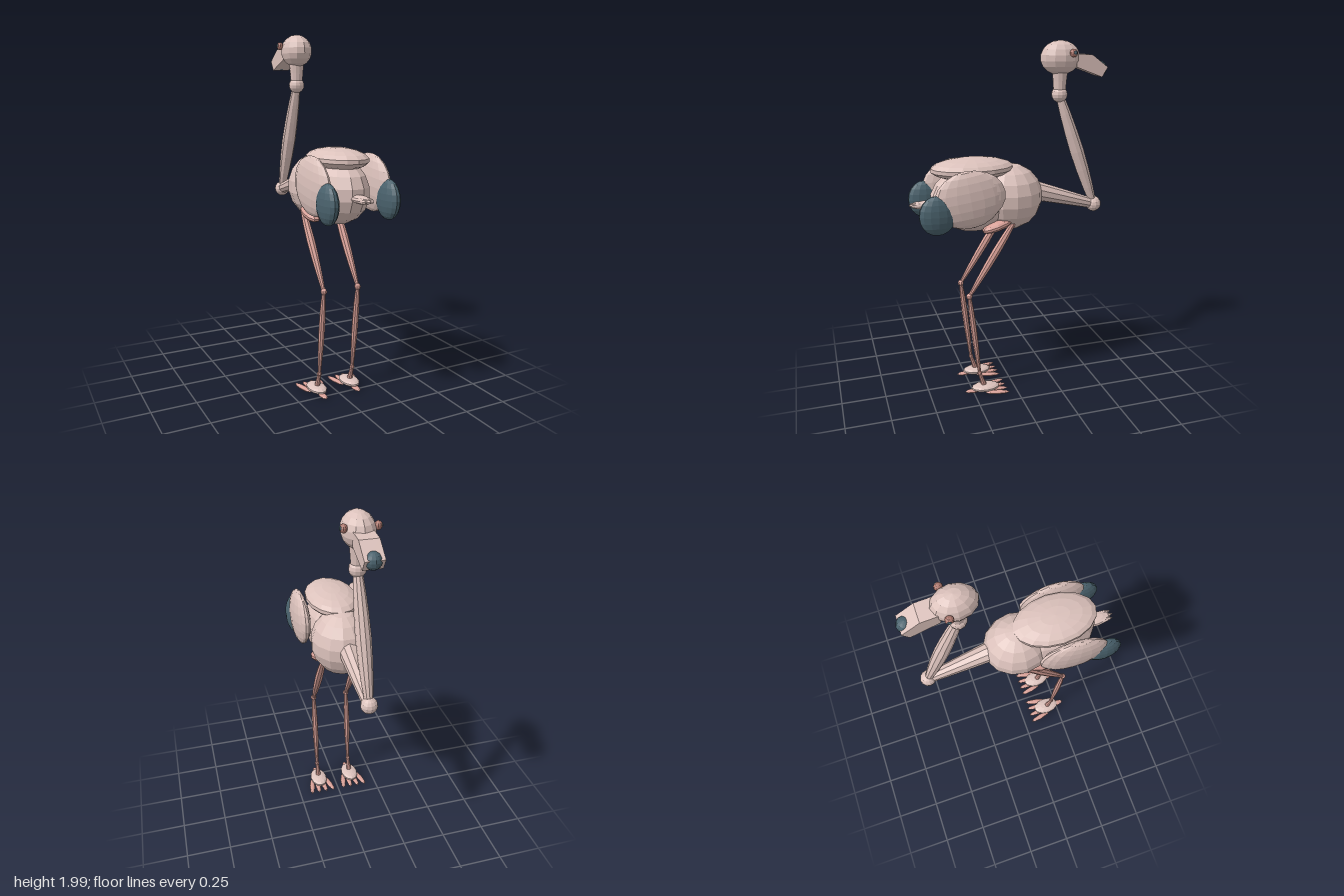
import * as THREE from 'three';

const mat = (name, color) => {
  const m = new THREE.MeshStandardMaterial({ color, flatShading: true });
  m.name = name;
  return m;
};

export function createModel() {
  const plumage = mat('pale pink plumage', 0xdcc2bc);
  const legPink = mat('leg pink', 0xd8a097);
  const slate = mat('dark slate', 0x4a626d);
  const eyeRed = mat('eye red brown', 0xb07a70);
  const bird = new THREE.Group();
  bird.name = 'wadingBird';

  const add = (name, geo, material, parent = bird) => {
    const mesh = new THREE.Mesh(geo, material);
    mesh.name = name;
    parent.add(mesh);
    return mesh;
  };
  // Ellipsoid with centre c and radii r
  const blob = (name, c, r, material, parent, ws = 14, hs = 9) => {
    const m = add(name, new THREE.SphereGeometry(1, ws, hs), material, parent);
    m.position.set(...c);
    m.scale.set(...r);
    return m;
  };
  // Round limb from a to b; radii are spaced evenly along its length
  const limb = (name, a, b, radii, material, parent, sides = 10) => {
    const from = new THREE.Vector3(...a), dir = new THREE.Vector3(...b).sub(from);
    const len = dir.length();
    const pts = radii.map((r, i) => new THREE.Vector2(r, len * i / (radii.length - 1)));
    pts.unshift(new THREE.Vector2(0, 0));
    pts.push(new THREE.Vector2(0, len));
    const m = add(name, new THREE.LatheGeometry(pts, sides), material, parent);
    m.position.copy(from);
    m.quaternion.setFromUnitVectors(new THREE.Vector3(0, 1, 0), dir.normalize());
    return m;
  };

  // Body
  blob('breast', [0, 1.157, 0], [0.17, 0.187, 0.19], plumage);
  blob('rearBody', [0, 1.16, 0.2], [0.155, 0.185, 0.25], plumage);
  blob('back', [0, 1.33, 0.21], [0.147, 0.06, 0.235], plumage, bird, 16, 9);

  // Tail: a core with three rounded feathers
  blob('tail', [0, 1.145, 0.46], [0.043, 0.022, 0.09], plumage, bird, 10, 6);
  for (const i of [-1, 0, 1])
    blob('tailFeather', [i * 0.022, 1.145, 0.5 - Math.abs(i) * 0.008], [0.014, 0.016, 0.065], plumage, bird, 8, 6);

  // Neck, bent in an S
  limb('lowerNeck', [0, 1.18, -0.14], [0, 1.07, -0.518], [0.057, 0.044, 0.03], plumage);
  blob('neckBend', [0, 1.07, -0.518], [0.045, 0.045, 0.045], plumage, bird, 12, 8);
  limb('upperNeck', [0, 1.07, -0.518], [0, 1.712, -0.29], [0.02, 0.031, 0.038, 0.041, 0.038, 0.032, 0.022], plumage);
  blob('neckTop', [0, 1.712, -0.29], [0.045, 0.045, 0.045], plumage, bird, 12, 8);
  limb('nape', [0, 1.73, -0.29], [0, 1.835, -0.29], [0.034, 0.038, 0.043], plumage, bird, 12);

  // Head
  blob('head', [0, 1.908, -0.29], [0.084, 0.092, 0.114], plumage, bird, 12, 9);

  // Bent, square-sided beak, cut from its side outline
  const beakShape = new THREE.Shape([
    [0.36, 1.93], [0.46, 1.922], [0.552, 1.855], [0.52, 1.802], [0.45, 1.828], [0.37, 1.858],
  ].map(p => new THREE.Vector2(...p)));
  const beakGeo = new THREE.ExtrudeGeometry(beakShape, { depth: 0.1, bevelEnabled: false });
  beakGeo.translate(0, 0, -0.05).rotateY(Math.PI / 2);
  add('beak', beakGeo, plumage);
  blob('beakTip', [0, 1.845, -0.522], [0.042, 0.043, 0.043], slate, bird, 12, 8);

  for (const s of [1, -1]) {
    const side = new THREE.Group();
    side.name = s > 0 ? 'leftSide' : 'rightSide';
    bird.add(side);

    // Eye
    blob('eye', [s * 0.083, 1.935, -0.335], [0.02, 0.022, 0.022], eyeRed, side, 10, 7);
    blob('pupil', [s * 0.097, 1.937, -0.338], [0.008, 0.012, 0.012], slate, side, 8, 6);

    // Wing with a dark tip
    const wing = blob('wing', [s * 0.175, 1.2, 0.272], [0.046, 0.157, 0.19], plumage, side, 16, 10);
    wing.rotation.x = 0.15;
    blob('wingShoulder', [s * 0.172, 1.215, 0.225], [0.04, 0.135, 0.155], plumage, side, 14, 9);
    blob('wingTip', [s * 0.178, 1.13, 0.443], [0.043, 0.108, 0.1], slate, side, 14, 10);

    // Leg
    const x = s * 0.105;
    const thigh = blob('thigh', [x, 1.02, 0.1], [0.045, 0.028, 0.09], legPink, side, 10, 7);
    thigh.rotation.x = 0.3;
    limb('upperLeg', [x, 1.04, 0.0], [x, 0.62, 0.265], [0.014, 0.021, 0.024, 0.022, 0.017, 0.01], legPink, side, 8);
    blob('knee', [x, 0.62, 0.265], [0.018, 0.018, 0.018], legPink, side, 8, 6);
    limb('lowerLeg', [x, 0.62, 0.265], [x, 0.128, 0.212], [0.01, 0.016, 0.018, 0.017, 0.013, 0.009], legPink, side, 8);
    blob('ankle', [x, 0.128, 0.212], [0.014, 0.014, 0.014], legPink, side, 8, 6);
    limb('shank', [x, 0.128, 0.212], [x, 0.04, 0.185], [0.01, 0.013, 0.017], legPink, side, 8);

    // Foot with a fan of flat toes and a hind toe
    blob('foot', [x, 0.032, 0.178], [0.052, 0.022, 0.084], plumage, side, 12, 7);
    for (const i of [-1.5, -0.5, 0.5, 1.5]) {
      const toe = blob('toe', [x + i * 0.038, 0.017, 0.12], [0.017, 0.011, 0.072], legPink, side, 8, 6);
      toe.rotation.y = -i * 0.14;
    }
    blob('hindToe', [x, 0.016, 0.25], [0.02, 0.01, 0.052], legPink, side, 8, 6);
  }

  // Stand on the ground
  const box = new THREE.Box3().setFromObject(bird);
  bird.position.y = -box.min.y;
  return bird;
}
